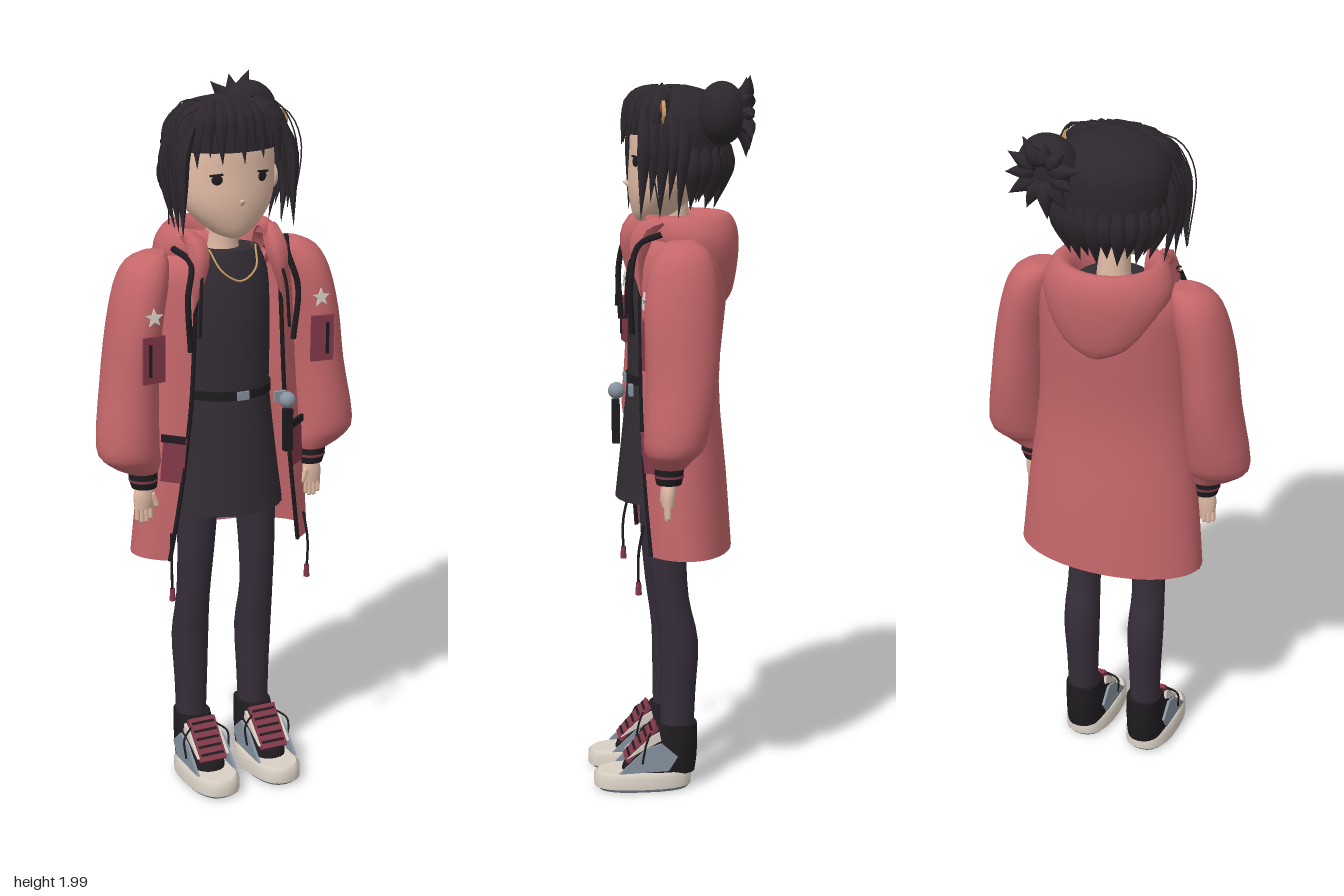
import * as THREE from 'three';

const V = (x, y, z) => new THREE.Vector3(x, y, z);
const mat = (name, color, side = THREE.FrontSide) => Object.assign(new THREE.MeshStandardMaterial({ color, side }), { name });

// Smoothly resample rows of numbers
function resample(rows, k) {
  const curves = rows[0].map((_, c) => new THREE.SplineCurve(rows.map((r, i) => new THREE.Vector2(i, r[c]))));
  const n = (rows.length - 1) * k;
  return Array.from({ length: n + 1 }, (_, i) => curves.map(c => c.getPoint(i / n).y));
}

// Stack of elliptical rings, bottom to top: [y, x, z, rx, rz, openHalfWidth?]
function loft(rows, { seg = 24, k = 3, pow = 1, cap = true } = {}) {
  const rings = resample(rows, k), pos = [], idx = [];
  const open = rows[0].length > 5, n = open ? seg + 1 : seg;
  const shape = v => Math.sign(v) * Math.abs(v) ** pow;
  const push = ([y, x, z, rx, rz, xf = 0]) => {
    const a = open ? Math.asin(Math.min(1, xf / rx)) : 0;
    for (let i = 0; i < n; i++) {
      const t = a + (2 * Math.PI - 2 * a) * i / seg;
      pos.push(x + rx * shape(Math.sin(t)), y, z + rz * shape(Math.cos(t)));
    }
  };
  rings.forEach(push);
  for (let j = 0; j < rings.length - 1; j++) for (let i = 0; i < seg; i++) {
    const a = j * n + i, b = j * n + (i + 1) % n;
    idx.push(a, b, b + n, a, b + n, a + n);
  }
  if (cap && !open) for (const top of [false, true]) {
    const r = top ? rings[rings.length - 1] : rings[0], base = pos.length / 3;
    push(r);
    pos.push(r[1], r[0], r[2]);
    for (let i = 0; i < n; i++) {
      const a = base + i, b = base + (i + 1) % n;
      idx.push(...(top ? [a, b, base + n] : [b, a, base + n]));
    }
  }
  const g = new THREE.BufferGeometry();
  g.setAttribute('position', new THREE.Float32BufferAttribute(pos, 3));
  g.setIndex(idx);
  g.computeVertexNormals();
  return g;
}

const tube = (pts, r, n = 16) => new THREE.TubeGeometry(new THREE.CatmullRomCurve3(pts), n, r, 6);

// Hair lock: a tube tapering to a point
function lock(pts, r, n = 9) {
  const curve = new THREE.CatmullRomCurve3(pts), g = new THREE.TubeGeometry(curve, n, r, 6), p = g.attributes.position, v = V();
  for (let i = 0; i < p.count; i++) {
    const u = Math.floor(i / 7) / n, c = curve.getPointAt(u);
    v.fromBufferAttribute(p, i).sub(c).multiplyScalar(Math.max(0.02, Math.min(1, 1.7 * (1 - u), 0.5 + 2 * u))).add(c);
    p.setXYZ(i, v.x, v.y, v.z);
  }
  g.computeVertexNormals();
  return g;
}

function plate(points, depth) {
  return new THREE.ExtrudeGeometry(new THREE.Shape(points.map(p => new THREE.Vector2(...p))), { depth, bevelEnabled: false });
}

export function createModel() {
  const root = new THREE.Group();
  root.name = 'girlInCoat';
  const M = {
    coat: mat('coatPink', 0xc4666a, THREE.DoubleSide), hair: mat('hairBlack', 0x2d272d, THREE.DoubleSide),
    dress: mat('dressBlack', 0x322c33), legs: mat('leggings', 0x362d39), skin: mat('skin', 0xe2bca6),
    cream: mat('cream', 0xd9d0c4), maroon: mat('maroon', 0x84394a), grey: mat('blueGrey', 0x8793a0),
    gold: mat('gold', 0xc79f62), black: mat('trimBlack', 0x1f1b20),
  };
  const add = (parent, name, geo, m, pos, rot) => {
    const mesh = new THREE.Mesh(geo, m);
    mesh.name = name;
    if (pos) mesh.position.set(...pos);
    if (rot) mesh.rotation.set(...rot);
    parent.add(mesh);
    return mesh;
  };
  const group = (name, parent = root) => {
    const g = new THREE.Group();
    g.name = name;
    parent.add(g);
    return g;
  };
  const box = (x, y, z) => new THREE.BoxGeometry(x, y, z);
  const ball = (x, y, z) => new THREE.SphereGeometry(1, 20, 14).scale(x, y, z);

  // Head and neck
  const head = group('head');
  add(head, 'face', loft([[1.588, 0, .05, .015, .02], [1.605, 0, .037, .055, .052], [1.65, 0, .018, .106, .083], [1.7, 0, .003, .135, .102],
    [1.77, 0, -.01, .145, .111], [1.85, 0, -.015, .138, .11], [1.92, 0, -.02, .09, .08]]), M.skin);
  add(head, 'neck', loft([[1.5, 0, -.02, .06, .05], [1.56, 0, -.02, .046, .045], [1.66, 0, -.015, .046, .045]]), M.skin);
  add(head, 'nose', new THREE.ConeGeometry(.013, .03, 8), M.skin, [0, 1.695, .108], [1.2, 0, 0]);
  for (const s of [1, -1]) {
    add(head, 'eye', ball(.015, .014, .004), M.black, [s * .067, 1.757, .091], [0, s * .36, 0]);
    add(head, 'eyelid', box(.036, .005, .006), M.black, [s * .069, 1.77, .091], [0, s * .36, s * -.1]);
    add(head, 'ear', ball(.015, .035, .025), M.skin, [s * .147, 1.735, -.01]);
  }

  // Hair: crown, open lower shell, fringe, side locks and ragged nape
  const hair = group('hair');
  add(hair, 'crown', loft([[1.83, 0, -.03, .165, .146], [1.88, 0, -.03, .158, .142], [1.92, 0, -.028, .13, .12],
    [1.945, 0, -.025, .09, .085], [1.96, 0, -.02, .035, .035]]), M.hair);
  add(hair, 'hairBack', loft([[1.7, 0, -.035, .135, .12, .13], [1.76, 0, -.035, .155, .138, .15], [1.84, 0, -.03, .165, .146, .155]]), M.hair);
  for (let i = 0; i < 11; i++) {
    const x = -.145 + i * .029, z = .118 - x * x * 3, tip = [1.75, 1.79, 1.82, 1.8, 1.83, 1.8, 1.835, 1.81, 1.83, 1.78, 1.75][i];
    add(hair, 'fringeLock', lock([V(x * .45, 1.95, .02), V(x * .85, 1.92, z - .03), V(x, 1.87, z - .008), V(x * 1.04, tip, z + .004)], .025), M.hair);
  }
  for (const s of [1, -1]) for (let i = 0; i < 5; i++) {
    const z = .075 - i * .026;
    add(hair, 'sideLock', lock([V(s * .13, 1.9, z), V(s * .16, 1.82, z), V(s * .163, 1.72, z + .006), V(s * (.165 - i * .006), 1.61 + (i % 2) * .045, z + .012)], .02), M.hair);
  }
  for (let i = 0; i < 13; i++) {
    const a = 1.75 + i * .233, sx = Math.sin(a), cz = Math.cos(a), p = (r, y) => V(sx * r, y, -.035 + cz * r * .88);
    add(hair, 'napeLock', lock([p(.15, 1.8), p(.142, 1.72), p(.115, 1.63 + (i % 2) * .02)], .027), M.hair);
  }
  for (let i = 0; i < 3; i++) for (const s of [1, -1])
    add(hair, 'wisp', tube([V(s * .04, 1.95, .02 * i), V(s * (.13 + i * .01), 1.955 - i * .015, .03 * i), V(s * (.185 + i * .004), 1.84, .03 + .02 * i), V(s * .185, 1.7 - i * .03, .04)], .002), M.hair);

  // Messy side bun with clip
  const bun = group('bun');
  add(bun, 'bunCore', ball(.083, .085, .065), M.hair, [.135, 1.89, -.135]);
  for (let i = 0; i < 11; i++) {
    const a = i * Math.PI * 2 / 11, c = Math.cos(a), s = Math.sin(a), r = .1 + (i % 3) * .008;
    add(bun, 'bunTuft', lock([V(.125 + c * .02, 1.89 + s * .02, -.18), V(.125 + c * .06, 1.89 + s * .06, -.2), V(.125 + c * r, 1.885 + s * r, -.205)], .024), M.hair);
  }
  add(bun, 'hairClip', new THREE.CylinderGeometry(.035, .035, .009, 18), M.gold, [.14, 1.89, .025], [Math.PI / 2, 0, 0]);
  add(bun, 'clipInset', new THREE.CylinderGeometry(.018, .018, .006, 12), M.maroon, [.145, 1.9, .032], [Math.PI / 2, 0, 0]);

  // Dress, belt and necklace
  const dress = group('dress');
  add(dress, 'bodice', loft([[1.14, 0, 0, .125, .107], [1.35, 0, 0, .128, .105], [1.48, 0, -.005, .125, .09], [1.55, 0, -.01, .1, .072]]), M.dress);
  add(dress, 'skirt', loft([[.82, 0, .003, .165, .14], [.98, 0, .001, .145, .125], [1.15, 0, 0, .126, .109]]), M.dress);
  add(dress, 'belt', loft([[1.145, 0, 0, .131, .114], [1.17, 0, 0, .131, .114]], { k: 1 }), M.black);
  add(dress, 'buckle', box(.035, .024, .008), M.grey, [0, 1.158, .115]);
  add(dress, 'beltClip', box(.035, .03, .012), M.grey, [.115, 1.14, .11]);
  add(dress, 'charmBall', ball(.023, .023, .023), M.grey, [.118, 1.14, .15]);
  add(dress, 'charmStrap', box(.024, .12, .02), M.black, [.118, 1.055, .152]);
  add(dress, 'necklace', tube([V(-.07, 1.56, .045), V(-.05, 1.505, .088), V(0, 1.477, .1), V(.05, 1.505, .088), V(.07, 1.56, .045)], .003, 24), M.gold);

  // Open coat, hood and front edges
  const coat = group('coat');
  const body = [[.69, 0, -.035, .27, .145, .2], [.9, 0, -.025, .25, .14, .17], [1.15, 0, -.015, .22, .13, .142], [1.38, 0, -.025, .21, .14, .13],
    [1.5, 0, -.03, .2, .14, .12], [1.56, 0, -.035, .15, .12, .09]];
  add(coat, 'coatBody', loft(body, { seg: 36 }), M.coat);
  add(coat, 'hood', loft([[1.365, 0, -.14, .035, .025, .01], [1.4, 0, -.125, .1, .058, .03], [1.47, 0, -.09, .155, .106, .09], [1.54, 0, -.06, .18, .14, .1],
    [1.59, 0, -.05, .165, .14, .085], [1.615, 0, -.045, .135, .12, .075], [1.59, 0, -.04, .105, .095, .07], [1.54, 0, -.035, .09, .085, .07]], { seg: 32 }), M.coat);
  const fine = resample(body, 2);
  for (const s of [1, -1]) {
    const side = group(s > 0 ? 'leftCoatSide' : 'rightCoatSide', coat);
    add(side, 'zipEdge', tube(fine.map(([y, , z, w, d, f]) => V(s * f, y, z + d * Math.sqrt(1 - (f / w) ** 2))), .006, 30), M.black);
    add(side, 'lapel', lock([V(s * .13, 1.6, .02), V(s * .115, 1.58, .065), V(s * .12, 1.52, .09), V(s * .135, 1.4, .085)], .033), M.coat);
    add(side, 'sleeve', loft([[.95, s * .262, .02, .043, .042], [.98, s * .285, .02, .075, .06], [1.03, s * .3, .01, .088, .085], [1.2, s * .285, -.01, .078, .096],
      [1.35, s * .27, -.01, .073, .1], [1.47, s * .245, -.015, .071, .092], [1.53, s * .225, -.02, .058, .068], [1.555, s * .205, -.02, .03, .035]]), M.coat);
    add(side, 'cuff', loft([[.905, s * .258, .022, .035, .034], [.93, s * .26, .022, .04, .039], [.96, s * .262, .021, .04, .039]]), M.black);
    add(side, 'cuffStripe', loft([[.925, s * .2597, .022, .041, .04], [.932, s * .26, .022, .041, .04]], { k: 1 }), M.maroon);
    const star = Array.from({ length: 10 }, (_, i) => [Math.sin(i * Math.PI / 5) * (i % 2 ? .011 : .026), Math.cos(i * Math.PI / 5) * (i % 2 ? .011 : .026)]);
    add(side, 'starPatch', plate(star, .006), M.cream, [s * .252, 1.4, .086], [-.1, 0, 0]);
    add(side, 'sleevePocket', box(.066, .13, .009), M.maroon, [s * .255, 1.285, .091], [.02, s * -.1, 0]);
    add(side, 'pocketTab', box(.008, .09, .008), M.black, [s * .268, 1.285, .097]);
    add(side, 'hipPocket', box(.065, .13, .009), M.maroon, [s * .187, .985, .064], [0, s * .6, s * .08]);
    add(side, 'hipFlap', box(.068, .02, .009), M.black, [s * .189, 1.045, .068], [0, s * .6, s * .08]);
    add(side, 'drawstring', tube([V(s * .17, 1.57, .03), V(s * .145, 1.54, .09), V(s * .165, 1.45, .115), V(s * .155, 1.3, .11)], .009), M.black);
    add(side, 'innerCord', tube([V(s * .1, 1.57, .075), V(s * .125, 1.48, .115), V(s * .135, 1.34, .125)], .005), M.black);
    add(side, 'hemCord', tube([V(s * .205, .78, .085), V(s * .212, .7, .1), V(s * .21, .6, .1)], .004), M.black);
    add(side, 'hemToggle', new THREE.CylinderGeometry(.007, .009, .035, 8), M.maroon, [s * .21, .605, .1]);

    // Hand with fingers
    const hand = group(s > 0 ? 'leftHand' : 'rightHand');
    add(hand, 'palm', loft([[.845, s * .262, .024, .026, .018], [.88, s * .26, .024, .03, .021], [.915, s * .258, .022, .023, .02]]), M.skin);
    for (let i = 0; i < 4; i++)
      add(hand, 'finger', new THREE.CapsuleGeometry(.0075, .035, 4, 8), M.skin, [s * (.242 + i * .013), .83 + (i % 3 ? -.004 : .004), .026]);
    add(hand, 'thumb', new THREE.CapsuleGeometry(.0085, .032, 4, 8), M.skin, [s * .233, .868, .035], [0, 0, s * -.35]);

    // Leg
    add(root, s > 0 ? 'leftLeg' : 'rightLeg', loft([[.15, s * .1, -.02, .042, .046], [.28, s * .099, -.022, .046, .05], [.42, s * .1, -.024, .052, .055],
      [.55, s * .1, -.002, .047, .05], [.7, s * .095, .008, .052, .054], [.86, s * .088, .005, .06, .062]]), M.legs);

    // Shoe
    const shoe = group(s > 0 ? 'leftShoe' : 'rightShoe');
    const x = s * .097;
    add(shoe, 'outsole', loft([[0, x, .076, .063, .126], [.014, x, .078, .07, .137]], { k: 1, pow: .8 }), M.grey);
    add(shoe, 'midsole', loft([[.01, x, .078, .072, .137], [.042, x, .078, .072, .138], [.054, x, .075, .064, .128]], { k: 1, pow: .8 }), M.cream);
    add(shoe, 'upper', loft([[.045, x, .035, .057, .105], [.08, x, .025, .058, .1], [.12, x, 0, .054, .077], [.185, x, -.02, .05, .056]], { pow: .85 }), M.black);
    add(shoe, 'tongue', box(.082, .13, .012), M.maroon, [x, .132, .083], [-.72, 0, 0]);
    for (let i = 0; i < 5; i++)
      add(shoe, 'lace', box(.07, .007, .008), M.black, [x, .1 + i * .018, .117 - i * .0158], [-.72, 0, 0]);
    for (const o of [1, -1]) {
      // Side panels are drawn in the z-y plane, then turned to face sideways
      add(shoe, 'sidePanel', plate([[-.15, .055], [-.01, .06], [.015, .1], [-.03, .14], [-.075, .125]], .008), M.grey, [x + o * .058 - .004, 0, 0], [0, Math.PI / 2, 0]);
      add(shoe, 'eyeletStrip', plate([[-.125, .095], [-.07, .125], [-.03, .145], [-.035, .17], [-.06, .155]], .008), M.cream, [x + o * .046 - .004, 0, 0], [0, Math.PI / 2, 0]);
      add(shoe, 'laceEnd', tube([V(x + o * .04, .165, .06), V(x + o * .068, .14, .075), V(x + o * .067, .085, .085)], .003), M.black);
    }
  }
  return root;
}
